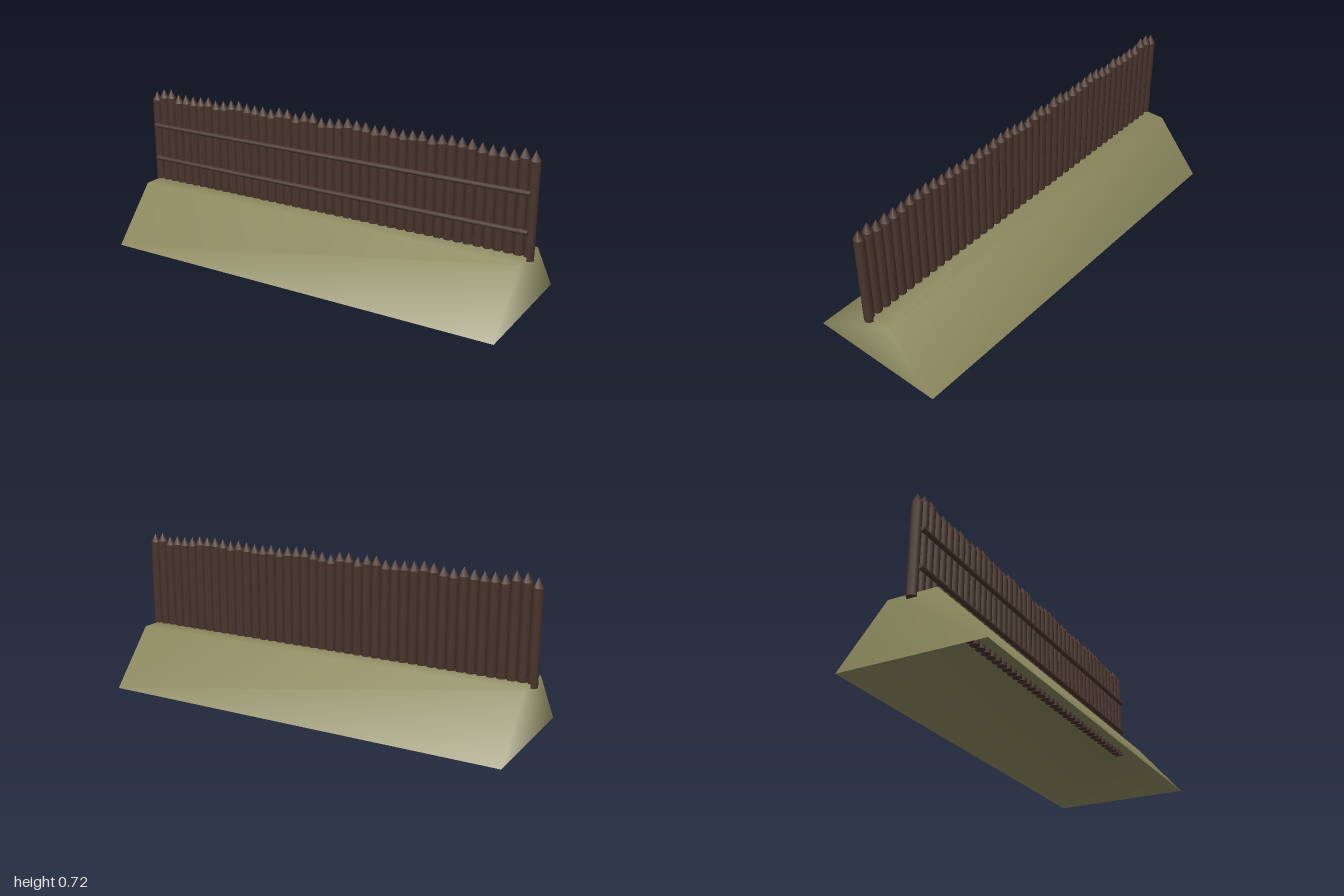
import * as THREE from 'three';

const POSTS = 44, RADIUS = 0.0227, END = 0.9773, BASE = 0.24;

// Small seeded generator for the uneven post heights
function seeded(seed) {
  return () => (seed = (seed * 16807) % 2147483647) / 2147483647;
}

// Earth bank: trapezoid tube, open underneath, with shared smooth corners
function bankGeometry() {
  const profile = [[0.33, 0], [0.111, 0.258], [-0.111, 0.258], [-0.33, 0]];
  const positions = [];
  for (const x of [-0.975, 0.975]) for (const [z, y] of profile) positions.push(x, y, z);
  const index = [];
  for (let i = 0; i < 3; i++) index.push(i, i + 4, i + 5, i, i + 5, i + 1);
  index.push(0, 1, 2, 0, 2, 3, 4, 6, 5, 4, 7, 6);
  const g = new THREE.BufferGeometry();
  g.setAttribute('position', new THREE.Float32BufferAttribute(positions, 3));
  g.setIndex(index);
  g.computeVertexNormals();
  return g;
}

export function createModel() {
  const wood = new THREE.MeshStandardMaterial({ color: 0x4a352c });
  wood.name = 'darkWood';
  const earth = new THREE.MeshStandardMaterial({ color: 0x8b885e, side: THREE.DoubleSide });
  earth.name = 'dryEarth';

  const model = new THREE.Group();
  model.name = 'palisade';
  const add = (parent, name, geometry, material, x, y, z) => {
    const mesh = new THREE.Mesh(geometry, material);
    mesh.name = name;
    mesh.position.set(x, y, z);
    parent.add(mesh);
    return mesh;
  };

  add(model, 'earthBank', bankGeometry(), earth, 0, 0, 0);

  // Row of touching posts with sharpened tips
  const tip = new THREE.ConeGeometry(RADIUS, 0.042, 8, 1, true);
  const shaft = new THREE.CylinderGeometry(RADIUS, RADIUS, 1, 8);
  const random = seeded(417);
  for (let i = 0; i < POSTS; i++) {
    const post = new THREE.Group();
    post.name = 'post' + (i + 1);
    post.position.x = -END + (2 * END * i) / (POSTS - 1);
    const height = 0.42 + 0.02 * (i === 2 ? 1 : random());
    add(post, 'shaft', shaft, wood, 0, BASE + height / 2, 0).scale.y = height;
    add(post, 'tip', tip, wood, 0, BASE + height + 0.021, 0);
    model.add(post);
  }

  // Two horizontal rails across the front
  const rail = new THREE.CylinderGeometry(0.0115, 0.0115, 1.95, 6);
  rail.rotateY(Math.PI / 2).rotateZ(Math.PI / 2);
  rail.rotateX(Math.PI / 2);
  // Turn a corner of the hexagon outward
  rail.rotateX(Math.PI / 2);
  add(model, 'lowerRail', rail, wood, 0, 0.368, 0.0255);
  add(model, 'upperRail', rail, wood, 0, 0.536, 0.0255);
  return model;
}
